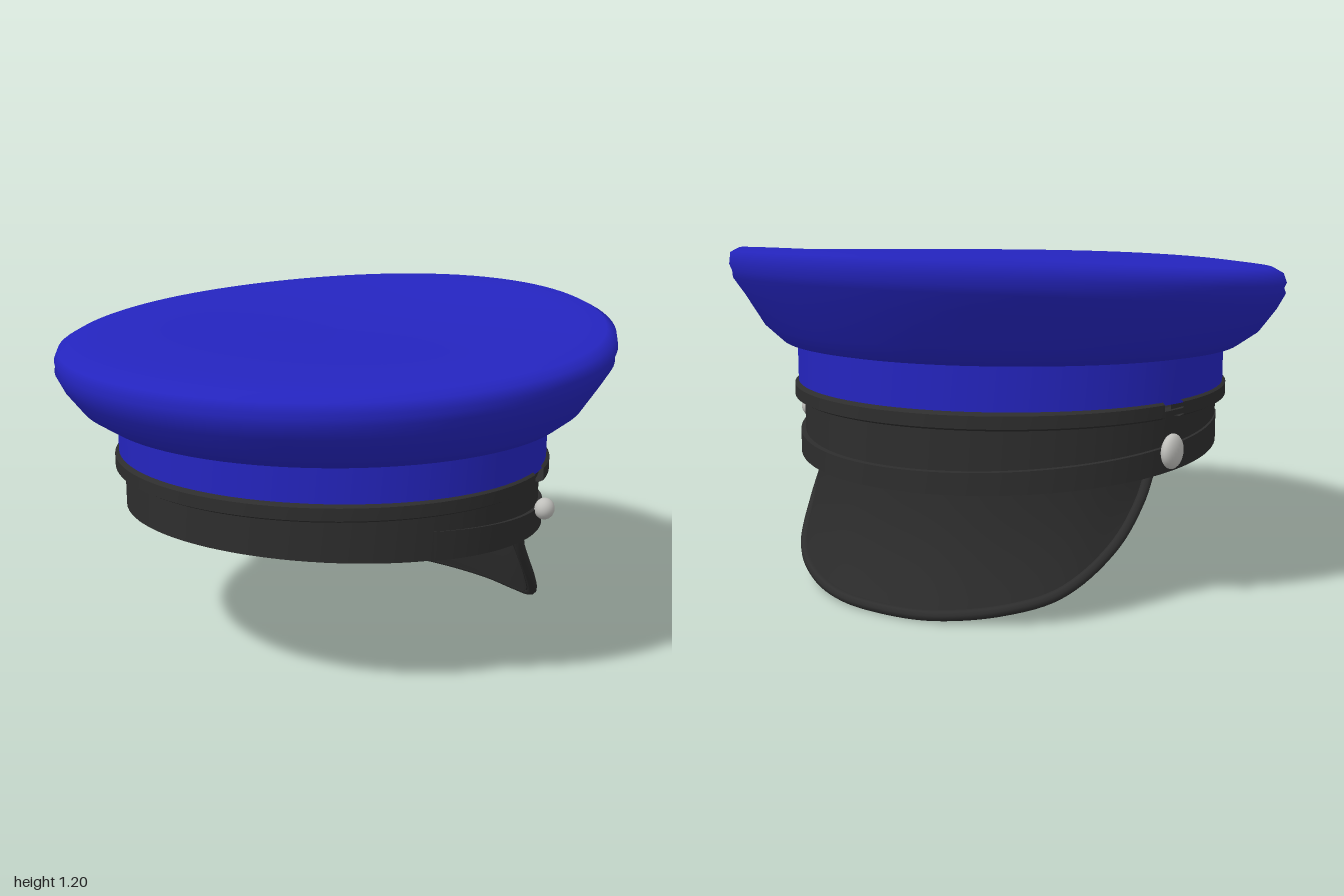
import * as THREE from 'three';
import { toCreasedNormals } from 'three/addons/utils/BufferGeometryUtils.js';

const CX = -0.035; // centre of the head opening
const rad = THREE.MathUtils.degToRad;
const lerp = THREE.MathUtils.lerp;

// Grid surface: at(a, j) gives the point of row j at angle a
function loft(at, rows, from, to, steps, { ring = false, closed = false, crease = 0.6 } = {}) {
  const cols = ring ? steps : steps + 1;
  const pos = [], index = [];
  for (let i = 0; i < cols; i++) {
    for (let j = 0; j < rows; j++) pos.push(...at(lerp(from, to, i / steps), j));
  }
  const id = (i, j) => (i % cols) * rows + (j % rows);
  for (let i = 0; i < steps; i++) {
    for (let j = 0; j < (closed ? rows : rows - 1); j++) {
      const a = id(i, j), b = id(i, j + 1), c = id(i + 1, j), d = id(i + 1, j + 1);
      index.push(a, b, c, b, d, c);
    }
  }
  const g = new THREE.BufferGeometry();
  g.setAttribute('position', new THREE.Float32BufferAttribute(pos, 3));
  g.setIndex(index);
  if (crease) return toCreasedNormals(g, crease);
  g.computeVertexNormals();
  return g;
}

// Point on an oval around the head
const oval = (a, rx, rz, yAt) => {
  const x = CX + rx * Math.cos(a);
  return [x, yAt(x), rz * Math.sin(a)];
};
const bandBottom = (x) => 0.466 - 0.064 * x;
const trimMiddle = (x) => 0.668 - 0.01 * x;

export function createModel() {
  const model = new THREE.Group();
  const material = (name, color) => {
    const m = new THREE.MeshStandardMaterial({ color, side: THREE.DoubleSide });
    m.name = name;
    return m;
  };
  const blue = material('blue cloth', 0x2424be);
  const black = material('black leather', 0x2d2d2d);
  const silver = material('silver metal', 0xc0c0bc);
  const add = (name, geometry, mat) => {
    const mesh = new THREE.Mesh(geometry, mat);
    mesh.name = name;
    model.add(mesh);
    return mesh;
  };
  const FULL = Math.PI * 2;

  // Crown: rows of [back radius, back y, front radius, front y], blended round
  const crown = [
    [0.775, 0.86, 0.715, 0.86], [0.80, 0.825, 0.75, 0.84], [0.85, 0.835, 0.80, 0.85],
    [0.92, 0.88, 0.86, 0.91], [0.975, 0.95, 0.93, 1.03], [1.0, 1.0, 0.975, 1.09],
    [0.992, 1.018, 0.98, 1.115], [1.0, 1.035, 0.99, 1.14], [0.987, 1.065, 0.987, 1.185],
    [0.95, 1.086, 0.955, 1.2], [0.85, 1.1, 0.85, 1.185], [0.6, 1.113, 0.6, 1.15],
    [0.3, 1.113, 0.3, 1.125], [0, 1.112, 0, 1.112],
  ];
  add('crown', loft((a, j) => {
    const c = Math.cos(a), w = Math.pow((1 + c) / 2, 1.7);
    const [rb, yb, rf, yf] = crown[j];
    const flat = c > 0 ? 1 - 0.02 * Math.sin(2 * a) ** 2 : 1;
    const r = lerp(rb, rf, w) * flat;
    return [r * c, lerp(yb, yf, w), r * Math.sin(a)];
  }, crown.length, 0, FULL, 96, { ring: true, crease: 0 }), blue);

  // Cloth wall between crown and band
  add('clothWall', loft((a, j) => oval(a, 0.758, 0.775, () => [0.682, 0.87][j]),
    2, 0, FULL, 96, { ring: true, crease: 0 }), blue);

  // Leather head band, deeper at the front
  const bandRows = [[0, 0], [0, 1], [0.045, 1], [0.045, 0]];
  add('headBand', loft((a, j) => {
    const [inset, top] = bandRows[j];
    return oval(a, 0.742 - inset, 0.75 - inset, (x) => (top ? trimMiddle(x) - 0.012 : bandBottom(x)));
  }, 4, 0, FULL, 96, { ring: true, closed: true }), black);

  // Trim ring in two arcs, leaving a small vent slot on each side
  const trimRows = [[0.015, -0.03], [0, -0.022], [0, 0.02], [0.015, 0.03], [0.05, 0.03], [0.05, -0.03]];
  const trimArc = (name, from, to) => add(name, loft((a, j) => {
    const [inset, dy] = trimRows[j];
    return oval(a, 0.775 - inset, 0.785 - inset, (x) => trimMiddle(x) + dy);
  }, 6, rad(from), rad(to), 64, { closed: true }), black);
  trimArc('frontTrim', -72.4, 72.4);
  trimArc('rearTrim', 79.2, 280.8);

  // Chin strap along the lower edge, thinning out towards the back
  const strapRows = [[-0.02, 0], [1, 0], [1, 1], [-0.02, 1]];
  add('chinStrap', loft((a, j) => {
    const [out, top] = strapRows[j];
    const fade = 1 - (Math.abs(a) / rad(115)) ** 3;
    const o = out * (0.002 + 0.016 * fade);
    return oval(a, 0.742 + o, 0.75 + o, (x) => bandBottom(x) - 0.002 + top * (0.09 - 0.024 * x));
  }, 4, rad(-115), rad(115), 80, { closed: true }), black);

  // Visor: from the band down to a curved edge
  const half = [[0.72, 0.024, 0.2], [0.62, 0.05, 0.4], [0.5, 0.1, 0.54],
    [0.33, 0.225, 0.635], [0.21, 0.36, 0.668], [0.145, 0.47, 0.675]];
  const points = [...half].reverse().map(([x, y, z]) => [x, y, -z]).concat([[0.745, 0.019, 0]], half);
  const edge = new THREE.CatmullRomCurve3(points.map((p) => new THREE.Vector3(...p)));
  const V = 10;
  add('visor', loft((t, j) => {
    const e = edge.getPoint(t);
    const a = Math.asin(THREE.MathUtils.clamp(e.z / 0.69, -1, 1));
    const top = oval(a, 0.695, 0.69, (x) => bandBottom(x) + 0.03);
    const inner = j >= V, k = (inner ? 2 * V - 1 - j : j) / (V - 1);
    const sag = 0.02 * Math.sin(Math.PI * k) * Math.cos(a); // slight outward flare at the edge
    const inset = inner ? 0.022 : 0;
    return [
      lerp(e.x, top[0], k) - sag - inset * Math.cos(a),
      lerp(e.y, top[1], k),
      lerp(e.z, top[2], k) - inset * Math.sin(a),
    ];
  }, 2 * V, 0, 1, 72, { closed: true }), black);
  add('visorEdge', new THREE.TubeGeometry(edge, 80, 0.018, 8), black);

  // Strap buttons
  const button = (name, z, r, depth) => {
    const b = add(name, new THREE.SphereGeometry(1, 24, 16), silver);
    b.scale.set(r, r, depth);
    b.position.set(0.21, 0.54, z);
  };
  button('leftButton', 0.752, 0.038, 0.034);
  button('rightButton', -0.782, 0.058, 0.03);

  return model;
}
